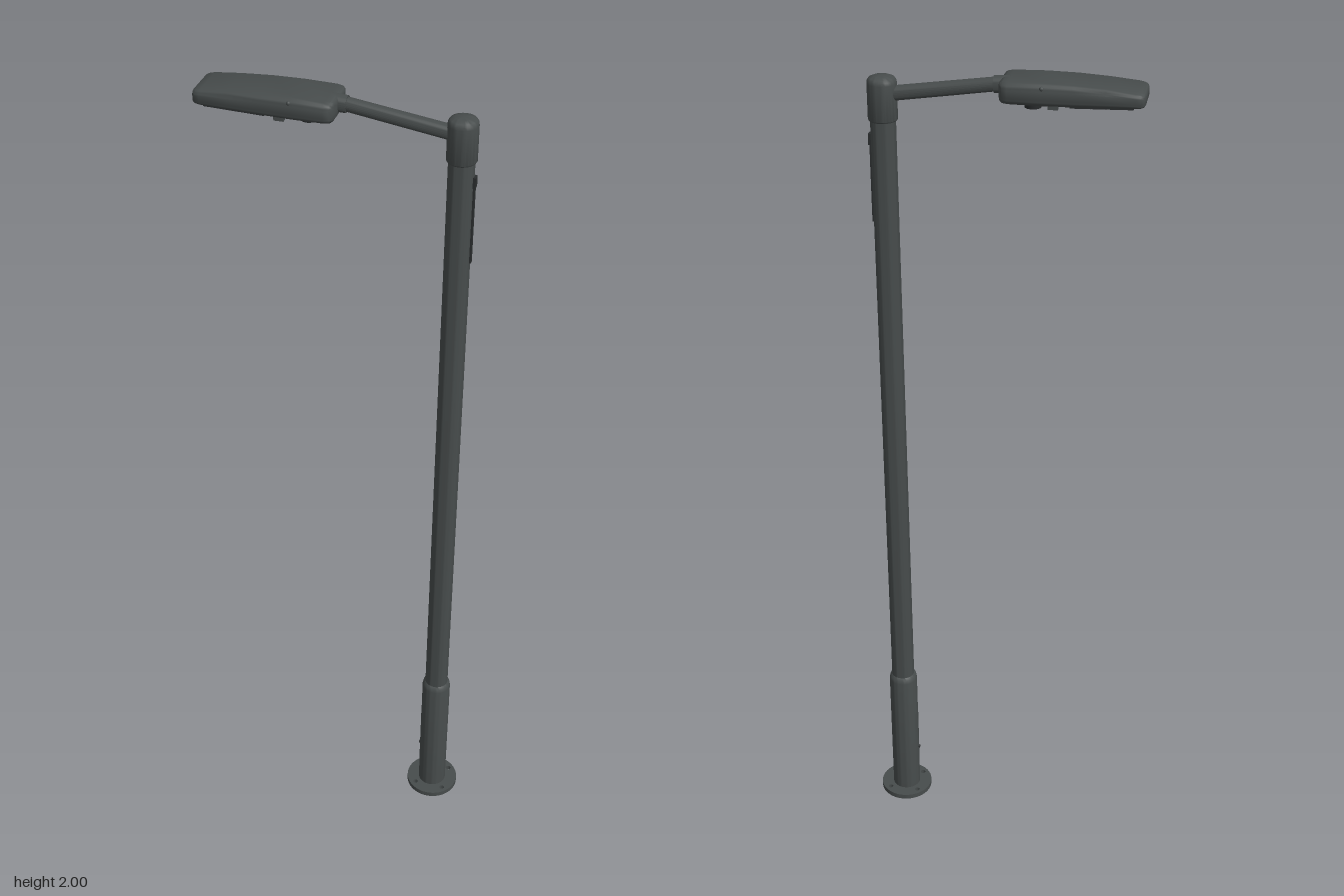
import * as THREE from 'three';
import { toCreasedNormals } from 'three/addons/utils/BufferGeometryUtils.js';

const POLE_X = 0.253;

export function createModel() {
  const root = new THREE.Group();
  root.name = 'streetLamp';
  const paint = new THREE.MeshStandardMaterial({ color: 0x474c4c });
  paint.name = 'dark grey paint';
  const dark = new THREE.MeshStandardMaterial({ color: 0x2b2e2f });
  dark.name = 'black plastic';
  const lens = new THREE.MeshStandardMaterial({ color: 0xa9acab });
  lens.name = 'clear grey lens';

  const add = (name, geo, mat, x = 0, y = 0, z = 0, parent = root) => {
    const m = new THREE.Mesh(geo, mat);
    m.name = name;
    m.position.set(x, y, z);
    parent.add(m);
    return m;
  };
  const lathe = (pts, seg = 40) =>
    toCreasedNormals(new THREE.LatheGeometry(pts.map(([r, y]) => new THREE.Vector2(r, y)), seg), 0.6);

  // Base flange with four bolt holes
  const disc = new THREE.Shape().absarc(0, 0, 0.067, 0, Math.PI * 2);
  for (const sx of [-1, 1]) for (const sz of [-1, 1]) {
    disc.holes.push(new THREE.Path().absarc(sx * 0.037, sz * 0.037, 0.0062, 0, Math.PI * 2, true));
  }
  const flange = new THREE.ExtrudeGeometry(disc, { depth: 0.013, bevelEnabled: false, curveSegments: 24 });
  flange.rotateX(-Math.PI / 2);
  add('baseFlange', toCreasedNormals(flange, 0.6), paint, POLE_X);

  // Thick lower sleeve, slim shaft and domed cap
  add('lowerSleeve', lathe([[0, 0.001], [0.036, 0.001], [0.036, 0.366], [0.034, 0.376], [0.029, 0.382]]), paint, POLE_X);
  add('shaft', lathe([[0.029, 0.37], [0.0285, 1.9]]), paint, POLE_X);
  add('poleCap', lathe([[0.0285, 1.886], [0.031, 1.886], [0.033, 1.889], [0.033, 1.968], [0.0318, 1.975],
    [0.028, 1.98], [0.018, 1.984], [0, 1.986]]), paint, POLE_X);

  // Service door on the sleeve, with its lock
  add('serviceDoor', new THREE.CylinderGeometry(0.0364, 0.0364, 0.17, 12, 1, true, Math.PI * 1.5 - 0.5, 1), paint, POLE_X, 0.17);
  const lock = new THREE.CylinderGeometry(0.004, 0.004, 0.004, 12).rotateZ(Math.PI / 2);
  add('doorLock', lock, dark, POLE_X - 0.0375, 0.135);

  // Narrow strip and bracket behind the upper shaft
  add('shaftStrip', new THREE.BoxGeometry(0.006, 0.2, 0.012), dark, POLE_X + 0.0285, 1.75);
  add('shaftBracket', new THREE.BoxGeometry(0.008, 0.025, 0.016), dark, POLE_X + 0.0295, 1.842);

  // Sloping arm and the collar that holds the head
  const rod = (name, from, to, r0, r1) => {
    const dir = to.clone().sub(from);
    const m = add(name, toCreasedNormals(new THREE.CylinderGeometry(r1, r0, dir.length(), 28), 0.6), paint);
    m.position.copy(from).addScaledVector(dir, 0.5);
    m.quaternion.setFromUnitVectors(new THREE.Vector3(0, 1, 0), dir.normalize());
  };
  rod('arm', new THREE.Vector3(POLE_X, 1.943, 0), new THREE.Vector3(0, 1.979, 0), 0.0165, 0.0155);
  rod('headCollar', new THREE.Vector3(0.006, 1.978, 0), new THREE.Vector3(-0.03, 1.98, 0), 0.0185, 0.019);

  // Lamp head: rounded sections along x, as [x, half width, top, bottom]
  const sections = [
    [-0.322, 0.038, 1.981, 1.961], [-0.319, 0.047, 1.985, 1.957], [-0.313, 0.052, 1.987, 1.956],
    [-0.302, 0.0545, 1.989, 1.955], [-0.24, 0.0565, 1.995, 1.953], [-0.17, 0.0585, 1.999, 1.951],
    [-0.1, 0.0595, 2.0, 1.95], [-0.03, 0.0595, 1.998, 1.951], [-0.018, 0.056, 1.997, 1.952],
    [-0.013, 0.05, 1.995, 1.955], [-0.01, 0.04, 1.991, 1.96],
  ];
  add('lampHead', toCreasedNormals(loft(sections), 0.7), paint);

  // Underside details follow the slope of the head
  const under = new THREE.Group();
  under.name = 'underside';
  under.position.set(-0.23, 1.9525, 0);
  under.rotation.z = -0.028;
  root.add(under);
  add('lensPlate', new THREE.BoxGeometry(0.135, 0.004, 0.086), dark, 0, -0.001, 0, under);
  const dome = new THREE.SphereGeometry(0.0052, 12, 6, 0, Math.PI * 2, Math.PI / 2, Math.PI / 2);
  dome.scale(1, 0.6, 1);
  for (let i = 0; i < 8; i++) for (let j = 0; j < 5; j++) {
    add('ledLens', dome, lens, (i - 3.5) * 0.0158, -0.003, (j - 2) * 0.0165, under);
  }

  // Sensor puck under the head
  add('sensorBase', new THREE.CylinderGeometry(0.024, 0.024, 0.008, 28), paint, -0.078, 1.948);
  add('sensor', new THREE.CylinderGeometry(0.02, 0.018, 0.012, 28), dark, -0.078, 1.939);

  // Latches along both edges
  for (const s of [-1, 1]) {
    add('latch', new THREE.BoxGeometry(0.022, 0.012, 0.01), paint, -0.128, 1.951, s * 0.047);
    add('hingePin', new THREE.SphereGeometry(0.005, 12, 8), paint, -0.104, 1.99, s * 0.056);
  }
  return root;
}

// Skin of rounded-rectangle sections, closed at both ends
function loft(sections) {
  const pos = [], index = [], steps = 5, n = 4 * (steps + 1);
  for (const [x, w, top, bottom] of sections) {
    const cy = (top + bottom) / 2, h = (top - bottom) / 2, r = h * 0.65;
    for (let q = 0; q < 4; q++) {
      const sz = q === 0 || q === 3 ? 1 : -1, sy = q < 2 ? 1 : -1;
      for (let k = 0; k <= steps; k++) {
        const a = (q + k / steps) * Math.PI / 2;
        pos.push(x, cy + sy * (h - r) + Math.sin(a) * r, sz * (w - r) + Math.cos(a) * r);
      }
    }
  }
  const last = (sections.length - 1) * n, c0 = sections.length * n;
  for (const [x, , top, bottom] of [sections[0], sections[sections.length - 1]]) pos.push(x, (top + bottom) / 2, 0);
  for (let i = 0; i < n; i++) {
    const k = (i + 1) % n;
    for (let j = 0; j < last; j += n) index.push(j + i, j + n + i, j + k, j + n + i, j + n + k, j + k);
    index.push(c0, i, k, c0 + 1, last + k, last + i);
  }
  const g = new THREE.BufferGeometry();
  g.setAttribute('position', new THREE.Float32BufferAttribute(pos, 3));
  g.setIndex(index);
  g.computeVertexNormals();
  return g;
}
